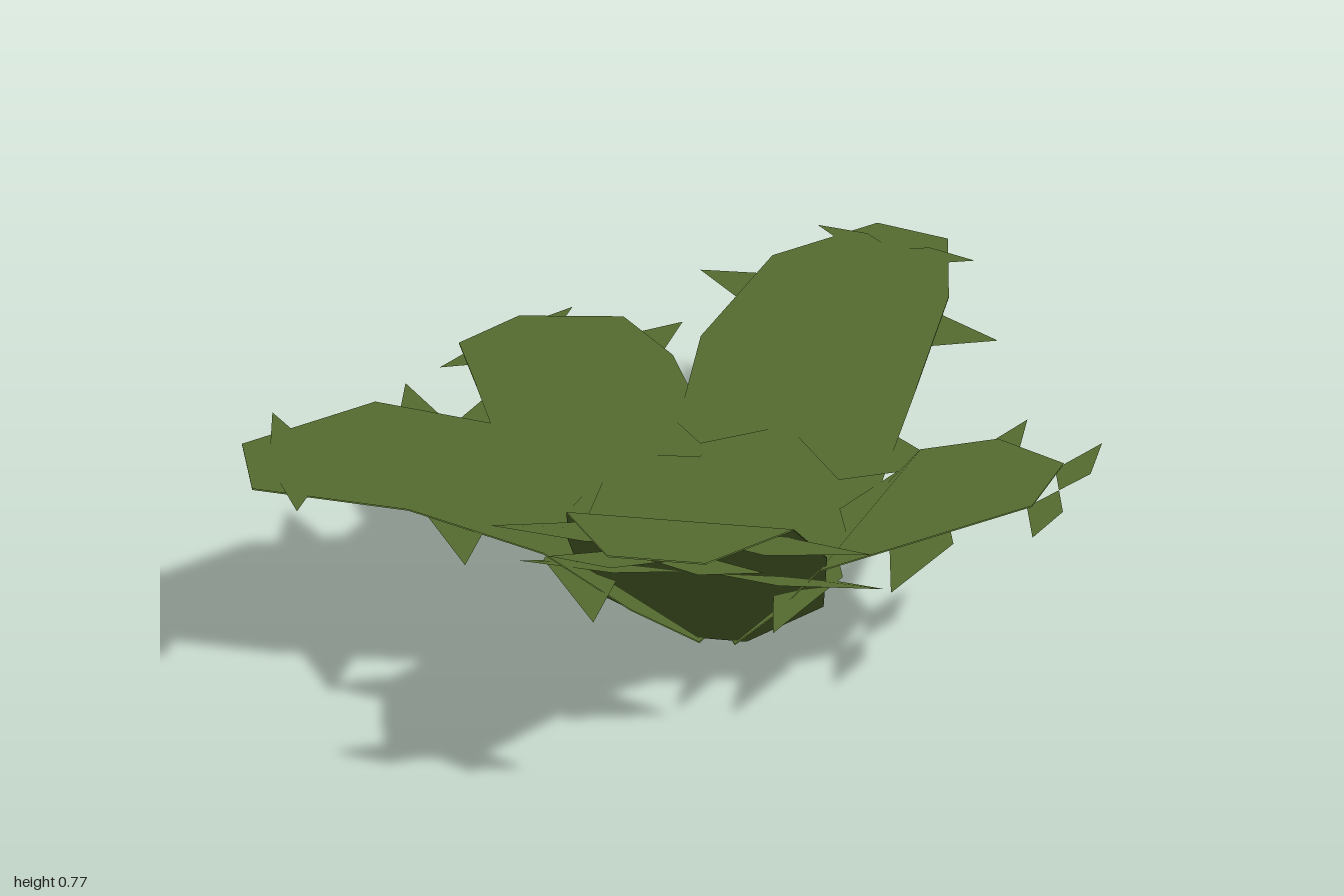
import * as THREE from 'three';

const leafGreen = new THREE.MeshStandardMaterial({ color: 0x556b2f, side: THREE.DoubleSide });
leafGreen.name = 'leaf green';

const THICKNESS = 0.003;

// Half widths of every leaf from root to tip
const HALF_WIDTHS = [0.036, 0.068, 0.262, 0.278, 0.232, 0.095];
const ROOT = [[0.035, 0], [0.068, 0]];

// Each leaf: compass angle in degrees (x towards z), [reach, height] after the root,
// and [reach, height] of its three thorn pairs
const LEAVES = [
  {
    name: 'frontLeaf', angle: 80,
    path: [[0.27, 0.25], [0.385, 0.45], [0.62, 0.665], [0.92, 0.765]],
    thorns: [[0.325, 0.35], [0.61, 0.62], [0.905, 0.752]],
  },
  {
    name: 'leftLeaf', angle: 8,
    path: [[0.255, 0.255], [0.365, 0.41], [0.565, 0.515], [0.765, 0.58]],
    thorns: [[0.295, 0.305], [0.555, 0.478], [0.79, 0.575]],
  },
  {
    name: 'backLeaf', angle: -81,
    path: [[0.25, 0.25], [0.44, 0.465], [0.73, 0.557], [1.045, 0.535]],
    thorns: [[0.325, 0.34], [0.635, 0.51], [0.92, 0.545]],
  },
  {
    name: 'rightBackLeaf', angle: 207,
    path: [[0.27, 0.25], [0.44, 0.42], [0.56, 0.495], [0.78, 0.465]],
    thorns: [[0.33, 0.3], [0.5, 0.43], [0.695, 0.465]],
  },
  {
    name: 'rightFrontLeaf', angle: 148,
    path: [[0.27, 0.25], [0.46, 0.435], [0.735, 0.558], [1.045, 0.573]],
    thorns: [[0.36, 0.32], [0.625, 0.5], [0.945, 0.57]],
  },
];

// Thorn shapes, low to high: ends across the leaf, plate width and upward tilt
const THORN_SHAPES = [
  { inner: 0.03, outer: 0.4, width: 0.18, tilt: 0.42 },
  { inner: 0.04, outer: 0.39, width: 0.15, tilt: 0.28 },
  { inner: 0, outer: 0.21, width: 0.08, tilt: 0.12 },
];

// Thin sheet with upright normals for even foliage shading
function sheetGeometry(positions, triangles) {
  const geometry = new THREE.BufferGeometry();
  const normals = positions.map((_, i) => (i % 3 === 1 ? 1 : 0));
  geometry.setAttribute('position', new THREE.Float32BufferAttribute(positions, 3));
  geometry.setAttribute('normal', new THREE.Float32BufferAttribute(normals, 3));
  geometry.setIndex(triangles);
  return geometry;
}

// Leaf blade along local +x: an upper skin and an underside just below it
function bladeGeometry(stations) {
  const positions = [];
  const triangles = [];
  stations.forEach(([reach, height], i) => {
    const w = HALF_WIDTHS[i];
    const top = height + THICKNESS;
    positions.push(reach, top, -w, reach, top, w, reach, height, -w, reach, height, w);
    if (i > 0) {
      const a = 4 * (i - 1);
      triangles.push(a, a + 1, a + 4, a + 1, a + 5, a + 4);
      triangles.push(a + 2, a + 6, a + 3, a + 3, a + 6, a + 7);
    }
  });
  return sheetGeometry(positions, triangles);
}

// Kite-shaped plate pointing sideways through the leaf, slightly arched
function thornGeometry({ inner, outer, width, tilt }, side) {
  const middle = THREE.MathUtils.lerp(inner, outer, 0.4);
  const half = side * width / 2;
  const c = Math.cos(tilt);
  const s = Math.sin(tilt);
  return sheetGeometry([
    0, 0, side * inner,
    -half * c, -half * s, side * middle,
    0, 0.008, side * middle,
    half * c, half * s, side * middle,
    0.02, 0.008, side * outer,
  ], [0, 1, 2, 0, 2, 3, 1, 4, 2, 2, 4, 3]);
}

export function createModel() {
  const plant = new THREE.Group();
  plant.name = 'thornyPlant';
  for (const { name, angle, path, thorns } of LEAVES) {
    const leaf = new THREE.Group();
    leaf.name = name;
    const blade = new THREE.Mesh(bladeGeometry([...ROOT, ...path]), leafGreen);
    blade.name = 'blade';
    leaf.add(blade);
    thorns.forEach(([reach, height], i) => {
      for (const side of [-1, 1]) {
        const thorn = new THREE.Mesh(thornGeometry(THORN_SHAPES[i], side), leafGreen);
        thorn.name = 'thorn';
        thorn.position.set(reach, height, 0);
        leaf.add(thorn);
      }
    });
    leaf.position.set(0.05, 0, 0.05);
    leaf.rotation.y = -THREE.MathUtils.degToRad(angle);
    plant.add(leaf);
  }
  return plant;
}
